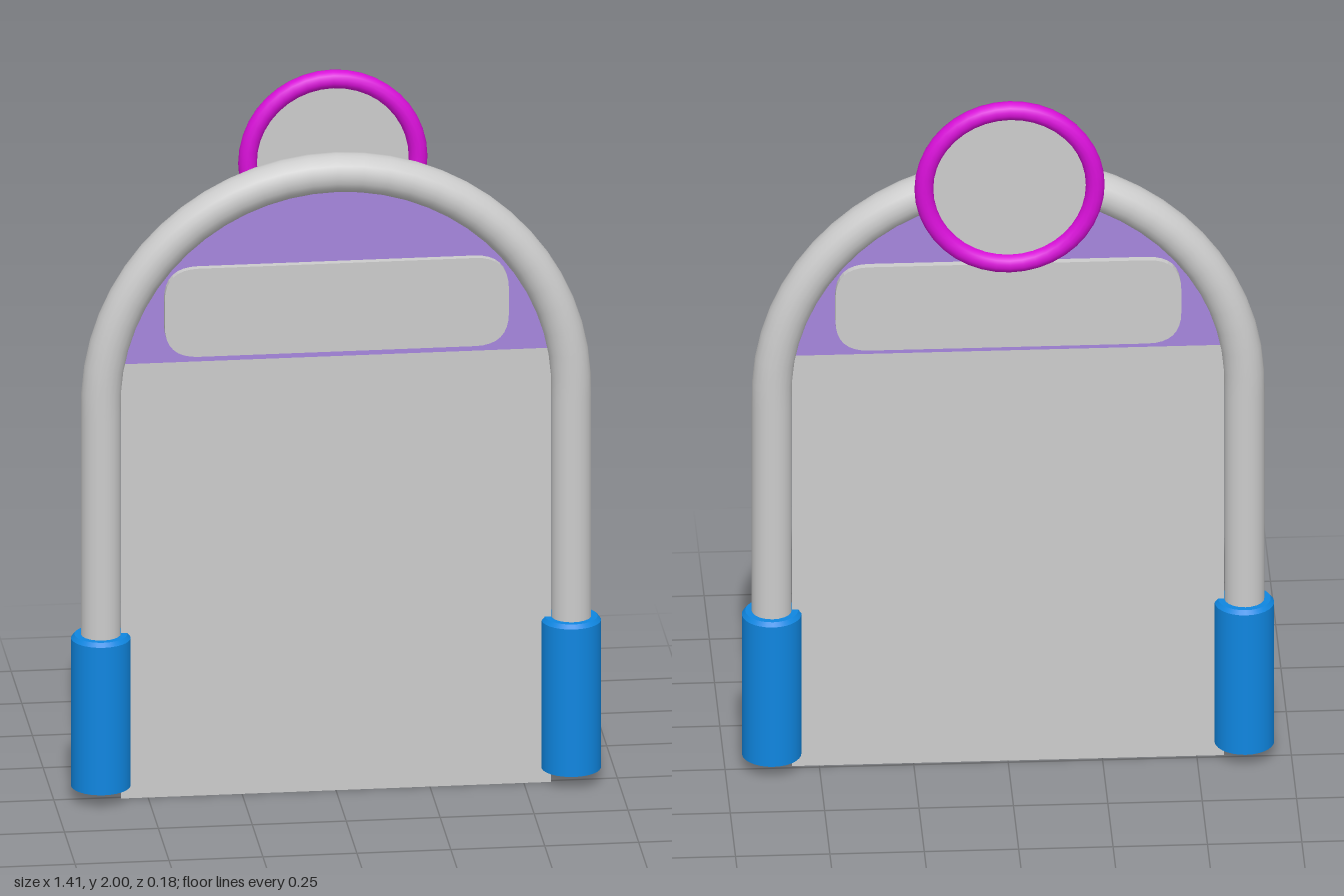
import * as THREE from 'three';

const Z = 0.01;       // plane of the frame and panels
const HALF = 0.626;   // half span of the tube centreline
const SPRING = 1.114; // height where the arch starts

const mat = (color, side = THREE.FrontSide) =>
  new THREE.MeshStandardMaterial({ color, side });

export function createModel() {
  const model = new THREE.Group();
  const grey = mat(0xcccccc);
  const greySheet = mat(0xcccccc, THREE.DoubleSide);
  const purpleSheet = mat(0xa585dc, THREE.DoubleSide);
  const blue = mat(0x0f86e0);
  const magenta = mat(0xd80fd8);

  const add = (name, geometry, material, x = 0, y = 0, z = Z) => {
    const mesh = new THREE.Mesh(geometry, material);
    mesh.name = name;
    mesh.position.set(x, y, z);
    model.add(mesh);
    return mesh;
  };

  // Hoop: two straight legs joined by a half-circle arch
  const path = new THREE.CurvePath();
  const v = (x, y) => new THREE.Vector3(x, y, 0);
  class Arch extends THREE.Curve {
    getPoint(t, target = new THREE.Vector3()) {
      const a = Math.PI * (1 - t);
      return target.set(HALF * Math.cos(a), SPRING + HALF * Math.sin(a), 0);
    }
  }
  path.add(new THREE.LineCurve3(v(-HALF, 0.06), v(-HALF, SPRING)));
  path.add(new Arch());
  path.add(new THREE.LineCurve3(v(HALF, SPRING), v(HALF, 0.06)));
  add('hoopFrame', new THREE.TubeGeometry(path, 60, 0.053, 20, false), grey);

  // Sleeves around the feet, with a small bevel at the top
  const sleeveProfile = [[0, 0.04], [0.079, 0.04], [0.079, 0.04], [0.079, 0.455],
    [0.079, 0.455], [0.07, 0.466], [0.07, 0.466], [0, 0.466]].map(p => new THREE.Vector2(...p));
  for (const [name, s] of [['leftSleeve', 1], ['rightSleeve', -1]]) {
    add(name, new THREE.LatheGeometry(sleeveProfile, 28), blue, s * HALF);
  }

  // Large lower sheet
  add('lowerPanel', new THREE.PlaneGeometry(1.144, 1.222), greySheet, 0, 0.611);

  // Upper sheet filling the arch above the lower one
  const r = 0.58;
  const a0 = Math.asin((1.222 - SPRING) / r);
  const segment = new THREE.Shape();
  segment.absarc(0, SPRING, r, a0, Math.PI - a0, false);
  segment.closePath();
  add('upperPanel', new THREE.ShapeGeometry(segment, 32), purpleSheet);

  // Sign plate with rounded corners, showing on both faces
  const w = 0.458, h = 0.124, c = 0.09;
  const sign = new THREE.Shape();
  sign.moveTo(-w + c, -h);
  sign.lineTo(w - c, -h);
  sign.quadraticCurveTo(w, -h, w, -h + c);
  sign.lineTo(w, h - c);
  sign.quadraticCurveTo(w, h, w - c, h);
  sign.lineTo(-w + c, h);
  sign.quadraticCurveTo(-w, h, -w, h - c);
  sign.lineTo(-w, -h + c);
  sign.quadraticCurveTo(-w, -h, -w + c, -h);
  const signGeometry = new THREE.ExtrudeGeometry(sign, { depth: 0.04, bevelEnabled: false, curveSegments: 8 });
  signGeometry.translate(0, 0, -0.02);
  add('signPlate', signGeometry, grey, 0, 1.366);

  // Round badge behind the top of the hoop
  add('badgeRing', new THREE.TorusGeometry(0.227, 0.025, 14, 40), magenta, 0, 1.748, -0.065);
  add('badgeDisc', new THREE.CircleGeometry(0.227, 40), greySheet, 0, 1.748, -0.065);

  return model;
}
